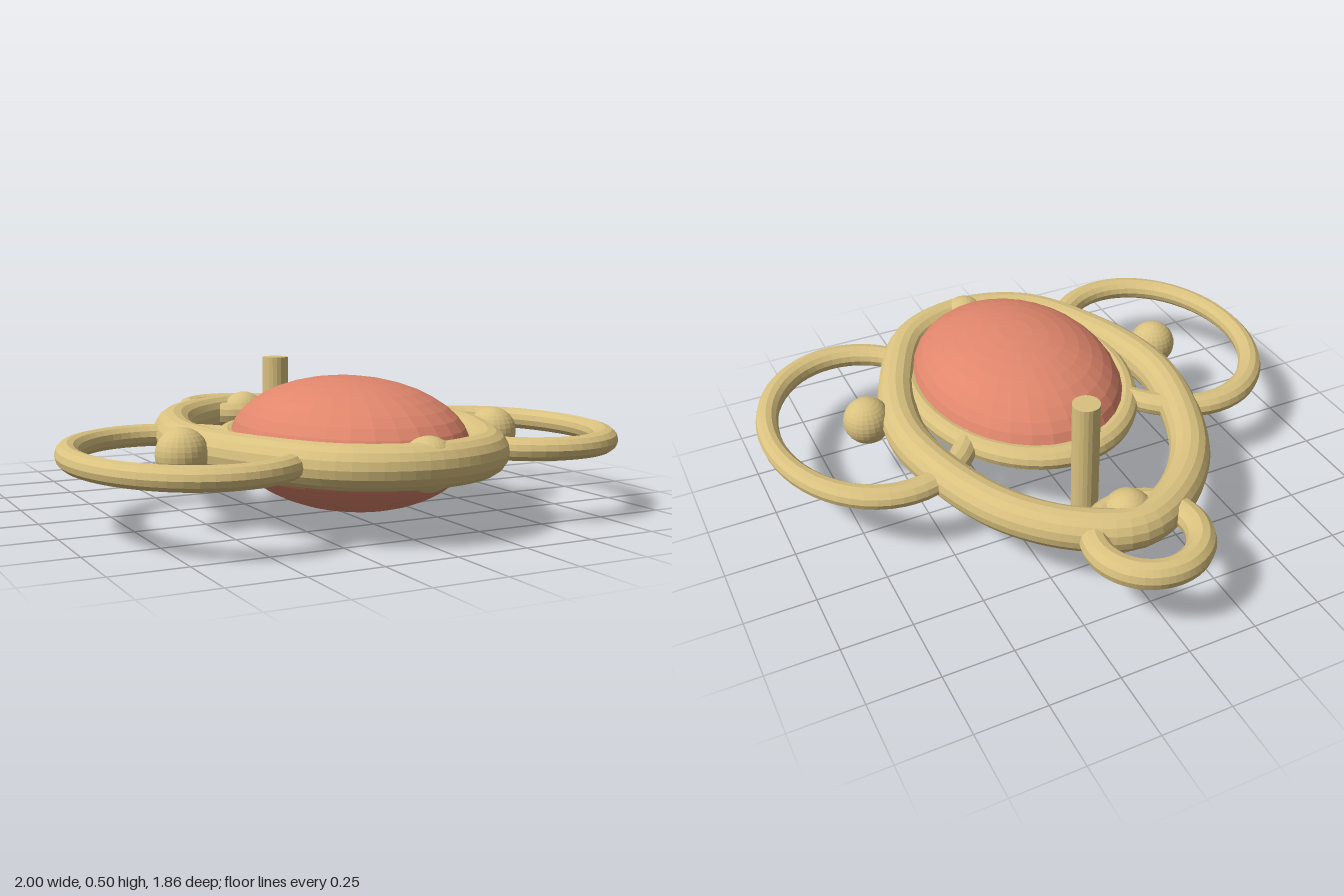
import * as THREE from 'three';

export function createModel() {
  const model = new THREE.Group();
  const gold = new THREE.MeshStandardMaterial({ color: 0xd9c17f, flatShading: true });
  gold.name = 'pale gold';
  const coral = new THREE.MeshStandardMaterial({ color: 0xe0866c, flatShading: true });
  coral.name = 'coral';

  const midY = 0.2525; // everything is centred on one horizontal plane
  const gemZ = 0.31;
  const stretch = 1.3; // ovals are longer in z than in x

  function add(name, geometry, material, x, z) {
    const mesh = new THREE.Mesh(geometry, material);
    mesh.name = name;
    mesh.position.set(x, midY, z);
    model.add(mesh);
    return mesh;
  }
  const ring = (radius, tube, zScale = 1) =>
    new THREE.TorusGeometry(radius, tube, 12, 56).rotateX(Math.PI / 2).scale(1, 1, zScale);
  const bead = () => new THREE.SphereGeometry(0.088, 24, 16);

  // Teardrop frame: half outline from the front to the back, then mirrored
  const half = [[0.25, 0.765], [0.42, 0.49], [0.5, 0.22], [0.495, 0], [0.37, -0.365], [0.19, -0.565]];
  const outline = [
    [0, 0.853], ...half, [0, -0.648],
    ...half.slice().reverse().map(([x, z]) => [-x, z]),
  ].map(([x, z]) => new THREE.Vector3(x, 0, z));
  const path = new THREE.CatmullRomCurve3(outline, true, 'centripetal');
  add('teardropFrame', new THREE.TubeGeometry(path, 96, 0.073, 16, true), gold, 0, 0);

  // Oval stone in its setting
  add('stone', new THREE.SphereGeometry(0.385, 32, 20).scale(1, 0.59, stretch), coral, 0, gemZ);
  add('stoneSetting', ring(0.393, 0.042, stretch), gold, 0, gemZ);

  // Side loops with a bead in each
  for (const [side, s] of [['left', 1], ['right', -1]]) {
    add(side + 'Loop', ring(0.355, 0.04, stretch), gold, s * 0.605, gemZ);
    add(side + 'Bead', bead(), gold, s * 0.605, gemZ);
  }

  // Beads on the front and back of the frame
  add('frontBead', bead(), gold, 0, 0.83);
  add('backBead', bead(), gold, 0, -0.575);

  // Hanging loop and upright pin
  add('hangingLoop', ring(0.175, 0.05), gold, 0, -0.707);
  add('uprightPin', new THREE.CylinderGeometry(0.05, 0.05, 0.505, 20), gold, 0, -0.268);

  return model;
}
